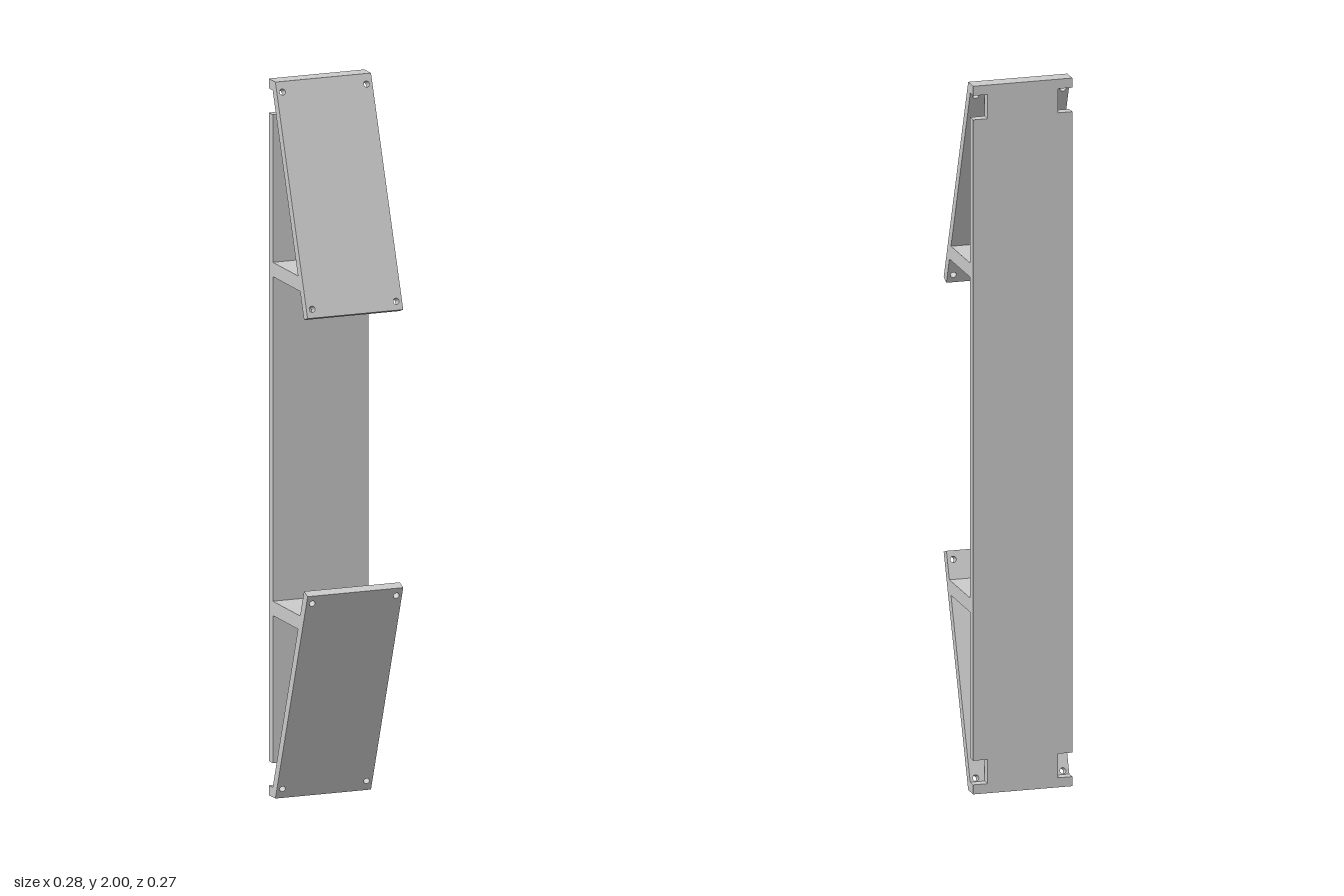
import * as THREE from 'three';

const W = 0.141;            // half width
const BACK = -0.1365, FACE = -0.108; // rear and front planes of the back panel
const T = 0.027;            // sloped plate thickness
const TILT = Math.atan2(0.2265, 0.612);
const LENGTH = 0.6526;

const material = new THREE.MeshStandardMaterial({ color: 0xcccccc, flatShading: true });

function addMesh(parent, name, geometry) {
  const mesh = new THREE.Mesh(geometry, material);
  mesh.name = name;
  parent.add(mesh);
  return mesh;
}

// Tall panel with a rectangular access notch at each corner
function backPanelGeometry() {
  const n = 0.1, lo = 0.027, hi = 0.095;
  const right = [[W, 0], [W, lo], [n, lo], [n, hi], [W, hi],
    [W, 2 - hi], [n, 2 - hi], [n, 2 - lo], [W, 2 - lo], [W, 2]];
  const left = right.map(([x, y]) => [-x, y]).reverse();
  const shape = new THREE.Shape([...right, ...left].map(([x, y]) => new THREE.Vector2(x, y)));
  return new THREE.ExtrudeGeometry(shape, { depth: FACE - BACK, bevelEnabled: false })
    .translate(0, 0, BACK);
}

// Plate with four screw holes, mitred level at its upper end
function slopedPlateGeometry() {
  const shape = new THREE.Shape([[-W, -LENGTH], [W, -LENGTH], [W, 0], [-W, 0]]
    .map(([x, y]) => new THREE.Vector2(x, y)));
  for (const x of [-0.124, 0.124]) {
    for (const y of [-0.029, -0.628]) {
      const hole = new THREE.Path();
      hole.absarc(x, y, 0.0085, 0, Math.PI * 2, true);
      shape.holes.push(hole);
    }
  }
  const geometry = new THREE.ExtrudeGeometry(shape, { depth: T, bevelEnabled: false, curveSegments: 12 })
    .translate(0, 0, -T);
  const p = geometry.attributes.position;
  for (let i = 0; i < p.count; i++) {
    if (p.getY(i) > -0.001 && p.getZ(i) < -T / 2) p.setY(i, T * Math.tan(TILT));
  }
  geometry.computeVertexNormals();
  return geometry.rotateX(-TILT).translate(0, 2, -0.09);
}

// Sloped plate and the shelf that braces it against the panel
function createBracket(name) {
  const bracket = new THREE.Group();
  bracket.name = name;
  addMesh(bracket, 'slopedPlate', slopedPlateGeometry());
  const front = 0.085, rear = FACE - 0.005;
  addMesh(bracket, 'braceShelf', new THREE.BoxGeometry(W * 2, 0.04, front - rear))
    .position.set(0, 1.473, (front + rear) / 2);
  return bracket;
}

export function createModel() {
  const model = new THREE.Group();
  model.name = 'doubleAngledBracket';
  addMesh(model, 'backPanel', backPanelGeometry());

  model.add(createBracket('upperBracket'));

  // Half turn about z gives the matching lower bracket
  const lower = createBracket('lowerBracket');
  lower.rotation.z = Math.PI;
  lower.position.y = 2;
  model.add(lower);
  return model;
}
